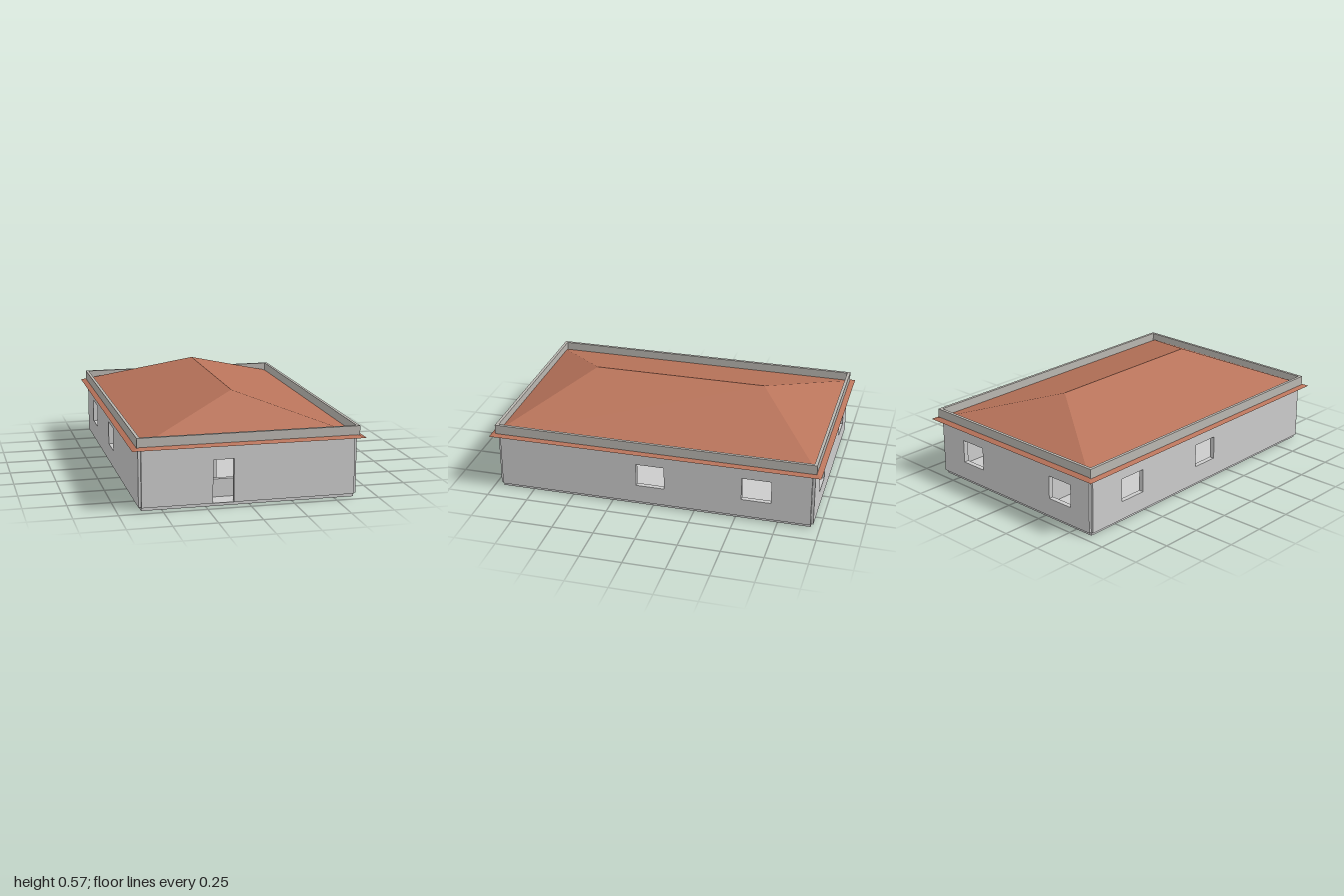
import * as THREE from 'three';

const grey = new THREE.MeshStandardMaterial({ color: 0xcccccc, flatShading: true });
const trim = new THREE.MeshStandardMaterial({ color: 0xbab7b1, flatShading: true });
const tile = new THREE.MeshStandardMaterial({ color: 0xb8735a, flatShading: true, side: THREE.DoubleSide });

const T = 0.03; // wall thickness
const FLOOR = 0.02, WALL_TOP = 0.36;

function add(parent, name, geometry, material = grey) {
  const mesh = new THREE.Mesh(geometry, material);
  mesh.name = name;
  parent.add(mesh);
  return mesh;
}

// Box given by its limits
function block(x0, x1, y0, y1, z0, z1) {
  return new THREE.BoxGeometry(x1 - x0, y1 - y0, z1 - z0)
    .translate((x0 + x1) / 2, (y0 + y1) / 2, (z0 + z1) / 2);
}

function rect(target, a0, a1, b0, b1) {
  target.moveTo(a0, b0);
  target.lineTo(a1, b0);
  target.lineTo(a1, b1);
  target.lineTo(a0, b1);
  target.closePath();
  return target;
}

// Upright slab from a0 to a1 with rectangular openings [a0, a1, b0, b1]
function wall(a0, a1, openings) {
  const shape = rect(new THREE.Shape(), a0, a1, FLOOR, WALL_TOP);
  for (const o of openings) shape.holes.push(rect(new THREE.Path(), ...o));
  return new THREE.ExtrudeGeometry(shape, { depth: T, bevelEnabled: false });
}

// Hipped roof surface from the eaves up to the ridge
function hipRoof(w, d, ridge, y0, y1) {
  const A = [-w, y0, d], B = [w, y0, d], C = [w, y0, -d], D = [-w, y0, -d];
  const F = [0, y1, ridge], K = [0, y1, -ridge];
  const faces = [A, B, F, B, C, K, B, K, F, C, D, K, D, A, F, D, F, K];
  const geometry = new THREE.BufferGeometry();
  geometry.setAttribute('position', new THREE.Float32BufferAttribute(faces.flat(), 3));
  geometry.computeVertexNormals();
  return geometry;
}

export function createModel() {
  const house = new THREE.Group();
  house.name = 'house';

  // Floor slab, set in a little from the walls
  add(house, 'floorSlab', block(-0.615, 0.615, 0, FLOOR, -0.945, 0.945));

  // Front wall with the doorway, back wall with two windows
  const sill = 0.13, head = 0.27;
  add(house, 'frontWall', wall(-0.615, 0.615, [[-0.21, -0.09, FLOOR + 0.001, head]]))
    .position.z = 0.93;
  add(house, 'backWall', wall(-0.615, 0.615, [
    [-0.47, -0.3, sill, head],
    [0.26, 0.43, sill, head],
  ])).position.z = -0.96;

  // Side walls, two windows each; shape x runs along -z
  for (const [name, x] of [['leftWall', 0.6], ['rightWall', -0.63]]) {
    const side = add(house, name, wall(-0.945, 0.945, [
      [-0.1, 0.07, sill, head],
      [0.535, 0.71, sill, head],
    ]));
    side.rotation.y = Math.PI / 2;
    side.position.x = x;
  }

  // Inner walls: a long divider and a lobby wall with a hatch behind the door
  add(house, 'dividingWall', block(-0.185, -0.155, FLOOR, WALL_TOP, -0.93, 0.81));
  add(house, 'lobbyWall', wall(-0.6, 0.05, [[-0.185, -0.015, 0.125, head]]))
    .position.z = 0.81;

  // Ceiling over the larger room
  add(house, 'ceiling', block(-0.155, 0.6, 0.345, 0.355, -0.93, 0.93));

  // Roof
  add(house, 'roof', hipRoof(0.67, 1, 0.53, 0.354, 0.567), tile);

  // Parapet frame standing on the roof edge
  const outline = rect(new THREE.Shape(), -0.64, 0.64, -0.97, 0.97);
  outline.holes.push(rect(new THREE.Path(), -0.622, 0.622, -0.952, 0.952));
  const frame = new THREE.ExtrudeGeometry(outline, { depth: 0.059, bevelEnabled: false });
  frame.rotateX(-Math.PI / 2).translate(0, 0.361, 0);
  add(house, 'parapet', frame, trim);

  return house;
}
